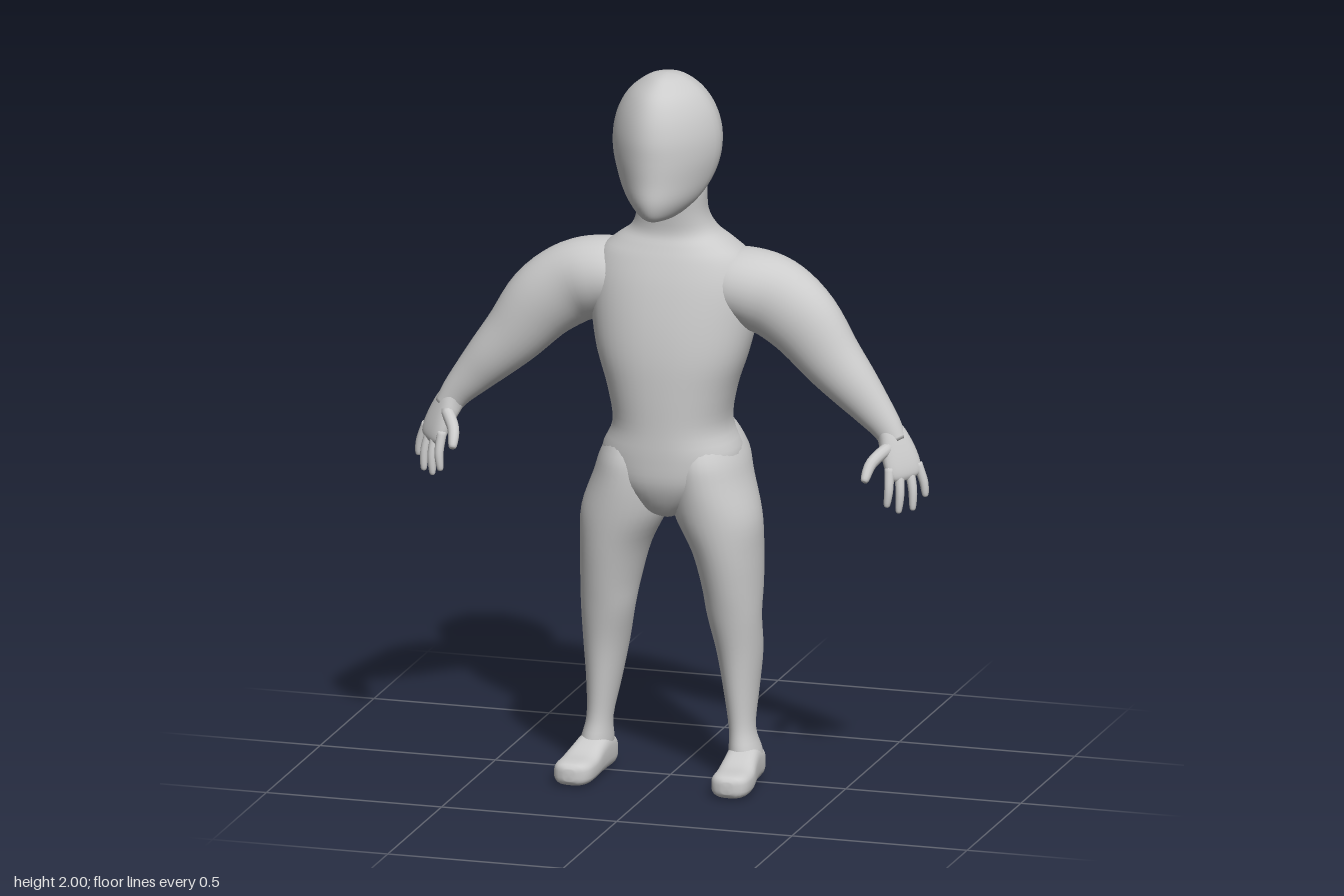
import * as THREE from 'three';

const material = new THREE.MeshStandardMaterial({ color: 0xcccccc });
const vec = (a) => new THREE.Vector3(...a);

// Catmull-Rom resampling of rows of numbers
function smooth(rows, steps) {
  const out = [];
  const at = (i) => rows[Math.min(Math.max(i, 0), rows.length - 1)];
  for (let i = 0; i < rows.length - 1; i++) {
    for (let s = 0; s < steps; s++) {
      const t = s / steps;
      out.push(rows[i].map((p1, k) => {
        const p0 = at(i - 1)[k], p2 = at(i + 1)[k], p3 = at(i + 2)[k];
        return p1 + 0.5 * t * (p2 - p0 + t * (2 * p0 - 5 * p1 + 4 * p2 - p3 + t * (3 * (p1 - p2) + p3 - p0)));
      }));
    }
  }
  out.push(rows[rows.length - 1]);
  return out;
}

// Closed skin over rounded sections [x, y, z, halfWidth, halfDepth].
// wide: direction of the width; dir: fixed section normal; power: squareness; bend: final vertex rule.
function loft(rows, { wide = [1, 0, 0], dir = null, power = 2, seg = 32, steps = 4, bend = null } = {}) {
  const sections = smooth(rows, steps);
  const centers = sections.map((r) => vec(r.slice(0, 3)));
  const pos = [], index = [];
  const n = sections.length;
  const round = (c) => Math.sign(c) * Math.abs(c) ** (2 / power);
  sections.forEach((r, i) => {
    const T = dir ? vec(dir) : centers[Math.min(i + 1, n - 1)].clone().sub(centers[Math.max(i - 1, 0)]).normalize();
    const U = vec(wide).addScaledVector(T, -vec(wide).dot(T)).normalize();
    const V = T.clone().cross(U);
    for (let j = 0; j < seg; j++) {
      const a = (j / seg) * Math.PI * 2;
      const p = centers[i].clone()
        .addScaledVector(U, Math.max(r[3], 0.001) * round(Math.cos(a)))
        .addScaledVector(V, Math.max(r[4], 0.001) * round(Math.sin(a)));
      if (bend) bend(p, r);
      pos.push(p.x, p.y, p.z);
      if (i < n - 1) {
        const k = (j + 1) % seg, A = i * seg;
        index.push(A + j, A + k, A + seg + k, A + j, A + seg + k, A + seg + j);
      }
    }
  });
  // End caps
  const first = pos.length / 3, last = (n - 1) * seg;
  pos.push(...centers[0].toArray(), ...centers[n - 1].toArray());
  for (let j = 0; j < seg; j++) {
    const k = (j + 1) % seg;
    index.push(first, k, j, first + 1, last + j, last + k);
  }
  const g = new THREE.BufferGeometry();
  g.setAttribute('position', new THREE.Float32BufferAttribute(pos, 3));
  g.setIndex(index);
  g.computeVertexNormals();
  return g;
}

// Horizontal sections given as [y, halfWidth, zFront, zBack, x]
const level = (rows) => rows.map(([y, w, f, b, x = 0]) => [x, y, (f + b) / 2, w, (f - b) / 2]);
const UP = [0, 1, 0];

function mirrored(g) {
  const m = g.clone().scale(-1, 1, 1);
  const ix = m.index.array;
  for (let i = 0; i < ix.length; i += 3) [ix[i + 1], ix[i + 2]] = [ix[i + 2], ix[i + 1]];
  m.computeVertexNormals();
  return m;
}

export function createModel() {
  const model = new THREE.Group();
  model.name = 'figure';
  const add = (name, g) => {
    const mesh = new THREE.Mesh(g, material);
    mesh.name = name;
    model.add(mesh);
  };
  const addPair = (name, g) => {
    add('left' + name, g);
    add('right' + name, mirrored(g));
  };

  // Head: egg that narrows towards the face, with a jutting chin
  add('head', loft(level([
    [1.607, 0.02, 0.165, 0.09], [1.615, 0.045, 0.187, 0.06], [1.635, 0.075, 0.202, 0.0],
    [1.67, 0.108, 0.21, -0.06], [1.72, 0.135, 0.208, -0.107], [1.78, 0.151, 0.207, -0.125],
    [1.84, 0.151, 0.203, -0.129], [1.9, 0.134, 0.186, -0.113], [1.95, 0.102, 0.155, -0.08],
    [1.985, 0.058, 0.105, -0.033], [1.997, 0.025, 0.07, 0.01], [2.0, 0, 0.04, 0.04],
  ]), {
    dir: UP, seg: 48,
    bend: (p, r) => { p.x *= 1 - 0.25 * Math.max(0, (p.z - r[2]) / (r[4] + 0.001)); },
  }));

  // Torso with neck
  add('torso', loft(level([
    [0.74, 0.02, 0.04, -0.05], [0.765, 0.07, 0.09, -0.1], [0.84, 0.17, 0.13, -0.165],
    [0.92, 0.195, 0.138, -0.195], [1.0, 0.163, 0.138, -0.186], [1.1, 0.178, 0.14, -0.178],
    [1.2, 0.21, 0.138, -0.187], [1.3, 0.23, 0.126, -0.212], [1.4, 0.235, 0.105, -0.204],
    [1.47, 0.21, 0.083, -0.18], [1.51, 0.165, 0.067, -0.16], [1.545, 0.12, 0.055, -0.137],
    [1.6, 0.098, 0.06, -0.103], [1.68, 0.095, 0.07, -0.095], [1.76, 0.07, 0.06, -0.08],
  ]), { dir: UP, power: 2.2, seg: 48 }));

  // Legs with buttock, thigh and calf
  addPair('Leg', loft(level([
    [0.02, 0.042, 0.05, -0.07, 0.215], [0.08, 0.045, 0.055, -0.075, 0.212], [0.15, 0.036, 0.042, -0.055, 0.203],
    [0.25, 0.047, 0.046, -0.09, 0.196], [0.36, 0.062, 0.056, -0.11, 0.19], [0.465, 0.074, 0.075, -0.094, 0.18],
    [0.55, 0.083, 0.092, -0.122, 0.173], [0.65, 0.097, 0.11, -0.14, 0.159], [0.75, 0.119, 0.123, -0.147, 0.133],
    [0.85, 0.11, 0.128, -0.19, 0.11], [0.92, 0.098, 0.12, -0.21, 0.1], [0.99, 0.07, 0.08, -0.175, 0.085],
    [1.03, 0.03, 0.0, -0.1, 0.08],
  ]), { dir: UP }));

  // Feet, heel to toe
  addPair('Foot', loft([
    [0.21, 0.035, -0.086, 0.012, 0.018], [0.21, 0.04, -0.078, 0.034, 0.034], [0.211, 0.046, -0.045, 0.046, 0.046],
    [0.213, 0.052, 0.01, 0.048, 0.052], [0.217, 0.046, 0.06, 0.05, 0.046], [0.222, 0.036, 0.12, 0.055, 0.036],
    [0.224, 0.034, 0.175, 0.054, 0.034], [0.225, 0.034, 0.203, 0.04, 0.029], [0.225, 0.034, 0.214, 0.015, 0.016],
  ], { dir: [0, 0, 1], power: 3, steps: 3 }));

  // Arms, shoulder to wrist: width lies in the front plane
  addPair('Arm', loft([
    [0.08, 1.385, -0.055, 0.07, 0.07], [0.15, 1.39, -0.055, 0.1, 0.115], [0.23, 1.38, -0.05, 0.112, 0.117],
    [0.3, 1.355, -0.043, 0.113, 0.1], [0.375, 1.3, -0.03, 0.106, 0.084], [0.45, 1.21, -0.025, 0.088, 0.074],
    [0.515, 1.14, -0.02, 0.072, 0.064], [0.568, 1.083, -0.015, 0.057, 0.05], [0.612, 1.033, -0.01, 0.044, 0.039],
    [0.64, 0.99, -0.003, 0.035, 0.03],
  ], { wide: [0.75, 0.66, 0] }));

  // Hands turned with the thumb forward
  const across = [0.68, 0.15, -0.7];
  addPair('Palm', loft([
    [0.6, 1.045, -0.012, 0.03, 0.03], [0.628, 1.01, -0.008, 0.041, 0.034], [0.65, 0.97, 0.003, 0.05, 0.028],
    [0.667, 0.93, 0.013, 0.053, 0.022], [0.676, 0.905, 0.018, 0.046, 0.016], [0.68, 0.895, 0.02, 0.025, 0.007],
  ], { wide: across, power: 2.4, seg: 24 }));
  const digit = (root, mid, tip, r) => {
    const end = vec(tip).lerp(vec(mid), 0.12).toArray();
    return loft([[...root, r, r], [...mid, r * 0.92, r * 0.92], [...end, r * 0.65, r * 0.65], [...tip, 0, 0]],
      { wide: across, seg: 12 });
  };
  const fingers = [
    ['IndexFinger', [0.638, 0.93, 0.045], [0.642, 0.875, 0.062], [0.637, 0.825, 0.066]],
    ['MiddleFinger', [0.66, 0.925, 0.025], [0.668, 0.865, 0.042], [0.665, 0.806, 0.047]],
    ['RingFinger', [0.682, 0.925, 0.004], [0.696, 0.868, 0.016], [0.698, 0.81, 0.022]],
    ['LittleFinger', [0.7, 0.935, -0.014], [0.718, 0.885, -0.014], [0.724, 0.842, -0.013]],
  ];
  for (const [name, root, mid, tip] of fingers) addPair(name, digit(root, mid, tip, 0.0135));
  addPair('Thumb', digit([0.632, 0.985, 0.022], [0.597, 0.95, 0.075], [0.587, 0.905, 0.115], 0.018));

  return model;
}
